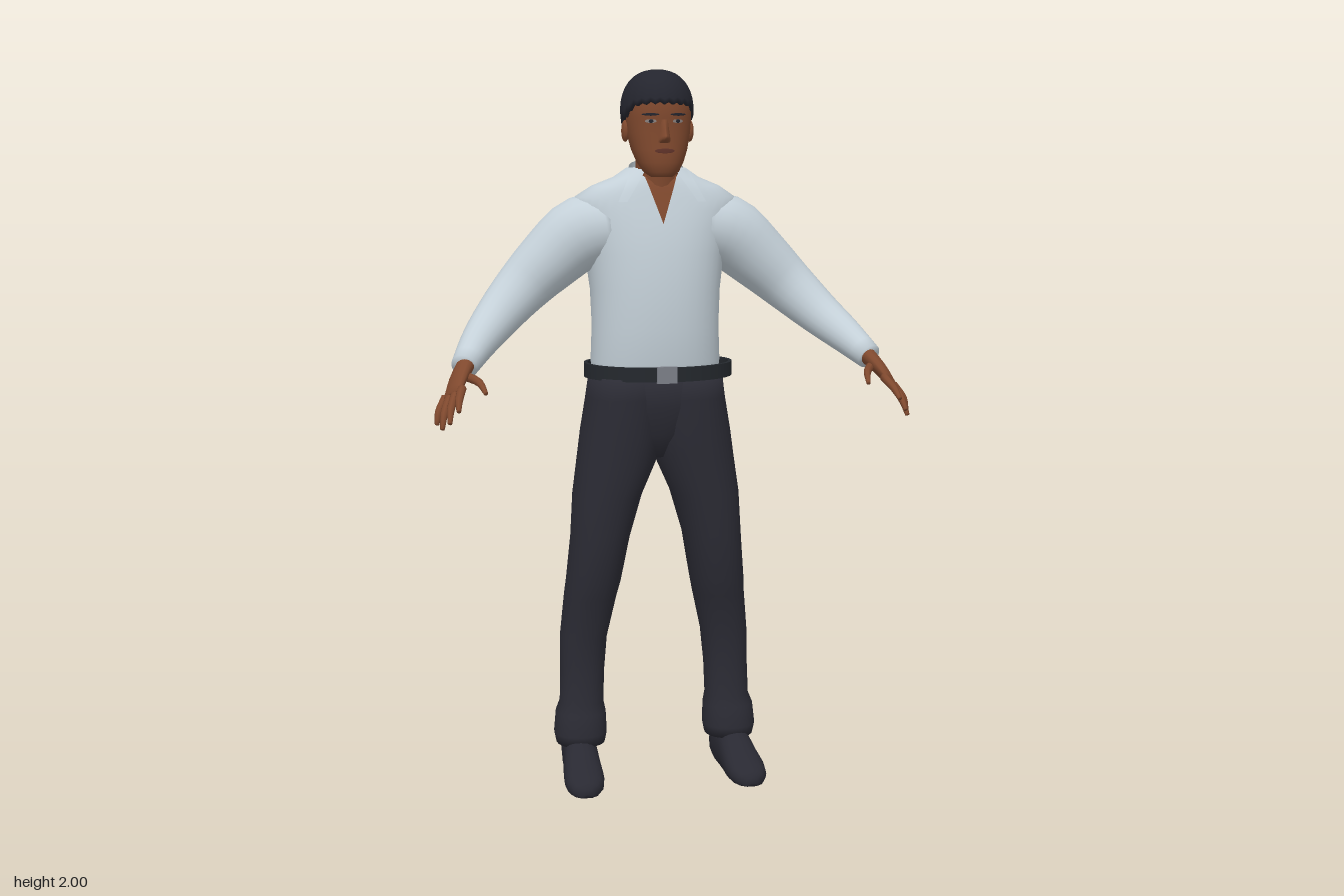
import * as THREE from 'three';
import { mergeVertices } from 'three/addons/utils/BufferGeometryUtils.js';

const V = (x, y, z) => new THREE.Vector3(x, y, z);
const lerp = THREE.MathUtils.lerp, clamp = THREE.MathUtils.clamp;
const P = 2.25; // roundness of body sections

function mat(name, color, double) {
  const m = new THREE.MeshStandardMaterial({ color });
  m.name = name;
  if (double) m.side = THREE.DoubleSide;
  return m;
}

// Sample a list at fraction t
function at(list, t) {
  const k = clamp(t, 0, 1) * (list.length - 1), i = Math.min(Math.floor(k), list.length - 2);
  return lerp(list[i], list[i + 1], k - i);
}

// Smooth surface from a function of u (around) and v (along)
function grid(fn, nu, nv) {
  const pos = [], idx = [];
  for (let j = 0; j <= nv; j++) for (let i = 0; i <= nu; i++) {
    const p = fn(i / nu, j / nv, j);
    pos.push(p.x, p.y, p.z);
  }
  for (let j = 0; j < nv; j++) for (let i = 0; i < nu; i++) {
    const a = j * (nu + 1) + i, d = a + nu + 1;
    idx.push(a, a + 1, d + 1, a, d + 1, d);
  }
  let g = new THREE.BufferGeometry();
  g.setAttribute('position', new THREE.Float32BufferAttribute(pos, 3));
  g.setIndex(idx);
  g = mergeVertices(g, 1e-5);
  g.computeVertexNormals();
  return g;
}
const mirror = fn => (u, v, j) => { const p = fn(1 - u, v, j); p.x *= -1; return p; };

// Rows are [y, centre x, half width, front z, back z]
const spow = (s, e) => Math.sign(s) * Math.abs(s) ** e;
function loft(rows, warp) {
  return (u, v, j) => {
    const n = rows.length, r = rows[clamp(j - 1, 0, n - 1)];
    const k = j === 0 || j === n + 1 ? 0 : 1, a = u * Math.PI * 2;
    const p = V(r[1] + k * r[2] * spow(Math.sin(a), 2 / P), r[0],
      (r[3] + r[4]) / 2 + k * (r[3] - r[4]) / 2 * spow(Math.cos(a), 2 / P));
    if (warp && k) warp(p);
    return p;
  };
}
function frontZ(rows, x, y) {
  let i = 0;
  while (i < rows.length - 2 && rows[i + 1][0] < y) i++;
  const t = clamp((y - rows[i][0]) / (rows[i + 1][0] - rows[i][0]), 0, 1);
  const r = rows[i].map((a, k) => lerp(a, rows[i + 1][k], t));
  const q = Math.min(1, Math.abs(x - r[1]) / r[2]);
  return (r[3] + r[4]) / 2 + (r[3] - r[4]) / 2 * (1 - q ** P) ** (1 / P);
}

// Thin patch lying on the front of a lofted part
function patch(rows, y0, y1, left, right, off) {
  return (u, v) => {
    const y = lerp(y0, y1, v), x = lerp(left(v), right(v), u);
    return V(x, y, frontZ(rows, x, y) + (typeof off === 'function' ? off(u, v) : off));
  };
}
function oval(rows, x, y, w, h, off) {
  const half = v => w * Math.sqrt(Math.max(0, 1 - (2 * v - 1) ** 2));
  return patch(rows, y - h, y + h, v => x - half(v), v => x + half(v), off);
}

// Capped tube with an oval section, along a curve
function limb(pts, ra, rb, ref, nv) {
  const curve = new THREE.CatmullRomCurve3(pts);
  return (u, v, j) => {
    const t = clamp((j - 1) / (nv - 2), 0, 1), k = j === 0 || j === nv ? 0 : 1;
    const T = curve.getTangent(t), A = ref.clone().addScaledVector(T, -ref.dot(T)).normalize();
    const B = T.clone().cross(A), a = u * Math.PI * 2;
    return curve.getPoint(t).addScaledVector(A, k * at(ra, t) * Math.cos(a))
      .addScaledVector(B, k * at(rb, t) * Math.sin(a));
  };
}

const TORSO = [
  [1.13, 0, .175, -.005, -.25], [1.2, 0, .182, .012, -.268], [1.3, 0, .178, .018, -.272],
  [1.4, 0, .182, .018, -.278], [1.5, 0, .195, .008, -.285], [1.57, 0, .215, -.005, -.28],
  [1.62, 0, .228, -.018, -.262], [1.655, 0, .225, -.028, -.24], [1.685, 0, .18, -.036, -.215],
  [1.71, 0, .118, -.045, -.19], [1.735, 0, .082, -.06, -.17]];
const HEAD = [
  [1.712, 0, .03, -.005, -.06], [1.725, 0, .048, .008, -.09], [1.75, 0, .063, .012, -.12],
  [1.785, 0, .076, .014, -.15], [1.83, 0, .086, .01, -.17], [1.87, 0, .09, .012, -.18],
  [1.91, 0, .09, .014, -.185], [1.95, 0, .08, 0, -.17], [1.98, 0, .05, -.04, -.13]];
const LEG = [
  [.09, .22, .07, -.065, -.21], [.12, .22, .076, -.06, -.213], [.18, .218, .072, -.07, -.212],
  [.21, .215, .063, -.08, -.207], [.3, .212, .063, -.083, -.212], [.4, .207, .067, -.08, -.225],
  [.52, .188, .074, -.055, -.234], [.57, .18, .077, -.035, -.23], [.7, .162, .083, -.018, -.222],
  [.82, .141, .097, -.01, -.235], [.92, .112, .112, -.003, -.252], [1.0, .1, .113, .003, -.262],
  [1.1, .09, .106, .006, -.265], [1.16, .088, .1, .005, -.255]];
const PELVIS = [[.93, 0, .03, -.06, -.19], [1.0, 0, .12, -.015, -.235],
  [1.08, 0, .17, 0, -.255], [1.165, 0, .18, .005, -.255]];
// Shoe rows are [z, centre x, half width, height]
const SHOE = [[-.212, .222, .028, .085], [-.2, .222, .045, .115], [-.15, .223, .05, .13],
  [-.09, .226, .05, .12], [-.04, .23, .054, .092], [.02, .233, .057, .068],
  [.06, .235, .052, .052], [.085, .236, .038, .04], [.097, .236, .018, .025]];

export function createModel() {
  const shirt = mat('shirtCloth', 0xc4d0d8, true), trousers = mat('trouserCloth', 0x2b2b34);
  const skin = mat('skin', 0x80492e, true), hairMat = mat('hairBlack', 0x24252e, true);
  const leather = mat('beltLeather', 0x24282d), steel = mat('buckleSteel', 0x7c7f88);
  const shoeMat = mat('shoeLeather', 0x292932), lip = mat('lipBrown', 0x62342a, true);
  const eyeMat = mat('eyeGrey', 0x8c8380, true);
  const root = new THREE.Group();
  root.name = 'standingMan';

  const add = (name, g, m, parent = root) => {
    const mesh = new THREE.Mesh(g, m);
    mesh.name = name;
    parent.add(mesh);
    return mesh;
  };
  const pair = (name, fn, nu, nv, m) => {
    add('left' + name, grid(fn, nu, nv), m);
    add('right' + name, grid(mirror(fn), nu, nv), m);
  };

  // Shirt body, with a groove down the spine
  const spine = p => { if (p.z < -.12) p.z += .014 * Math.exp(-((p.x / .045) ** 2)); };
  add('shirtBody', grid(loft(TORSO, spine), 40, TORSO.length + 1), shirt);

  // Sleeves
  pair('Sleeve', limb([V(.13, 1.57, -.14), V(.21, 1.552, -.136), V(.3, 1.48, -.132), V(.38, 1.405, -.115),
    V(.455, 1.33, -.06), V(.51, 1.275, .015), V(.557, 1.222, .1)],
  [.11, .1, .086, .07, .058, .048, .037], [.1, .104, .09, .076, .062, .05, .036], V(0, 0, 1), 22), 20, 22, shirt);

  // Open collar: skin showing, flaps, and the band behind the neck
  add('openNeck', grid(patch(TORSO, 1.585, 1.715, v => -.045 * v, v => .045 * v, .005), 8, 8), skin);
  pair('CollarFlap', patch(TORSO, 1.645, 1.732, v => lerp(.098, .04, v), v => lerp(.122, .078, v),
    (u, v) => .012 + .006 * (1 - v)), 5, 6, shirt);
  add('collarBand', grid((u, v) => {
    const a = lerp(.55, Math.PI * 2 - .55, u), b = (1 - Math.cos(a)) / 2;
    return V(lerp(.092, .076, v) * Math.sin(a), lerp(1.69, lerp(1.715, 1.757, b), v),
      -.11 + lerp(.078, .068, v) * Math.cos(a));
  }, 28, 3), shirt);

  // Trousers and shoes
  pair('TrouserLeg', loft(LEG), 24, LEG.length + 1, trousers);
  add('trouserSeat', grid(loft(PELVIS), 32, PELVIS.length + 1), trousers);
  pair('Shoe', (u, v, j) => {
    const n = SHOE.length, r = SHOE[clamp(j - 1, 0, n - 1)], a = u * Math.PI * 2;
    const k = j === 0 || j === n + 1 ? 0 : 1;
    return V(r[1] + k * r[2] * Math.cos(a), Math.max(0, r[3] * (.4 + k * .6 * spow(Math.sin(a), .8))), r[0]);
  }, 20, SHOE.length + 1, shoeMat);

  // Loose belt and buckle
  const ring = new THREE.Shape().absellipse(0, 0, .21, .158, 0, Math.PI * 2);
  ring.holes.push(new THREE.Path().absellipse(0, 0, .2, .148, 0, Math.PI * 2, true));
  const belt = new THREE.ExtrudeGeometry(ring, { depth: .04, bevelEnabled: false, curveSegments: 40 });
  belt.rotateX(-Math.PI / 2);
  add('belt', belt, leather).position.set(.008, 1.155, -.126);
  add('buckle', new THREE.BoxGeometry(.056, .046, .012), steel).position.set(.003, 1.175, .031);

  // Hands: palm, fingers and thumb
  const across = V(-.035, .03, .05);
  pair('Palm', limb([V(.545, 1.235, .08), V(.575, 1.195, .135), V(.597, 1.155, .18)],
    [.027, .036, .038], [.025, .019, .012], across, 8), 14, 8, skin);
  const fingers = [
    ['IndexFinger', V(.572, 1.176, .19), V(.584, 1.152, .243), V(.588, 1.13, .28)],
    ['MiddleFinger', V(.588, 1.163, .185), V(.605, 1.128, .235), V(.61, 1.097, .266)],
    ['RingFinger', V(.602, 1.152, .17), V(.62, 1.113, .208), V(.627, 1.077, .23)],
    ['LittleFinger', V(.612, 1.148, .15), V(.632, 1.115, .178), V(.638, 1.083, .19)],
    ['Thumb', V(.555, 1.2, .125), V(.526, 1.19, .185), V(.514, 1.168, .236)]];
  for (const [name, a, b, c] of fingers)
    pair(name, limb([a, b, c], [.013, .011, .006], [.012, .01, .006], across, 8), 8, 8, skin);

  // Neck and head
  add('neck', grid(limb([V(0, 1.6, -.095), V(0, 1.68, -.093), V(0, 1.78, -.088)],
    [.064, .062, .064], [.062, .06, .062], V(0, 0, 1), 8), 20, 8), skin);
  add('head', grid(loft(HEAD), 32, HEAD.length + 1), skin);
  add('nose', grid(patch(HEAD, 1.803, 1.865, v => -.018 + .009 * v, v => .018 - .009 * v,
    (u, v) => .034 * Math.min(1, v * 5) * (1 - v * .9) * (1 - Math.abs(2 * u - 1)) ** .7 - .001), 8, 10), skin);
  add('lips', grid(oval(HEAD, 0, 1.782, .027, .007, .004), 8, 6), lip);
  pair('Eye', oval(HEAD, .037, 1.861, .015, .0055, .003), 8, 6, eyeMat);
  pair('Pupil', oval(HEAD, .037, 1.861, .006, .0055, .005), 6, 6, hairMat);
  pair('Eyebrow', oval(HEAD, .038, 1.879, .023, .004, .004), 8, 4, hairMat);
  for (const s of [-1, 1]) {
    const ear = new THREE.SphereGeometry(1, 12, 8).scale(.011, .03, .02);
    add(s > 0 ? 'leftEar' : 'rightEar', ear, skin).position.set(s * .09, 1.835, -.09);
  }

  // Hair cap with an uneven fringe, lower at the nape
  const hairline = [1.905, 1.905, 1.9, 1.868, 1.86, 1.815, 1.792, 1.785];
  add('hair', grid((u, v, j) => {
    const a = u * Math.PI * 2, f = 1 - Math.abs(1 - 2 * u), i = Math.round(u * 48) % 48;
    const low = at(hairline, f) + (i % 2 ? .007 : 0);
    const w = Math.max(0, (j - 1) / 11);
    const y = low + (2 - low) * Math.sin(w * Math.PI / 2);
    const t = (y - 1.885) / .115;
    let k = t > 0 ? Math.max(0, 1 - t ** 2.3) ** (1 / 2.3) : 1 + .12 * t;
    if (j === 0) k *= .88;
    return V(-.003 + .1 * k * Math.sin(a), y, -.085 + .118 * k * Math.cos(a));
  }, 48, 12), hairMat);

  return root;
}
